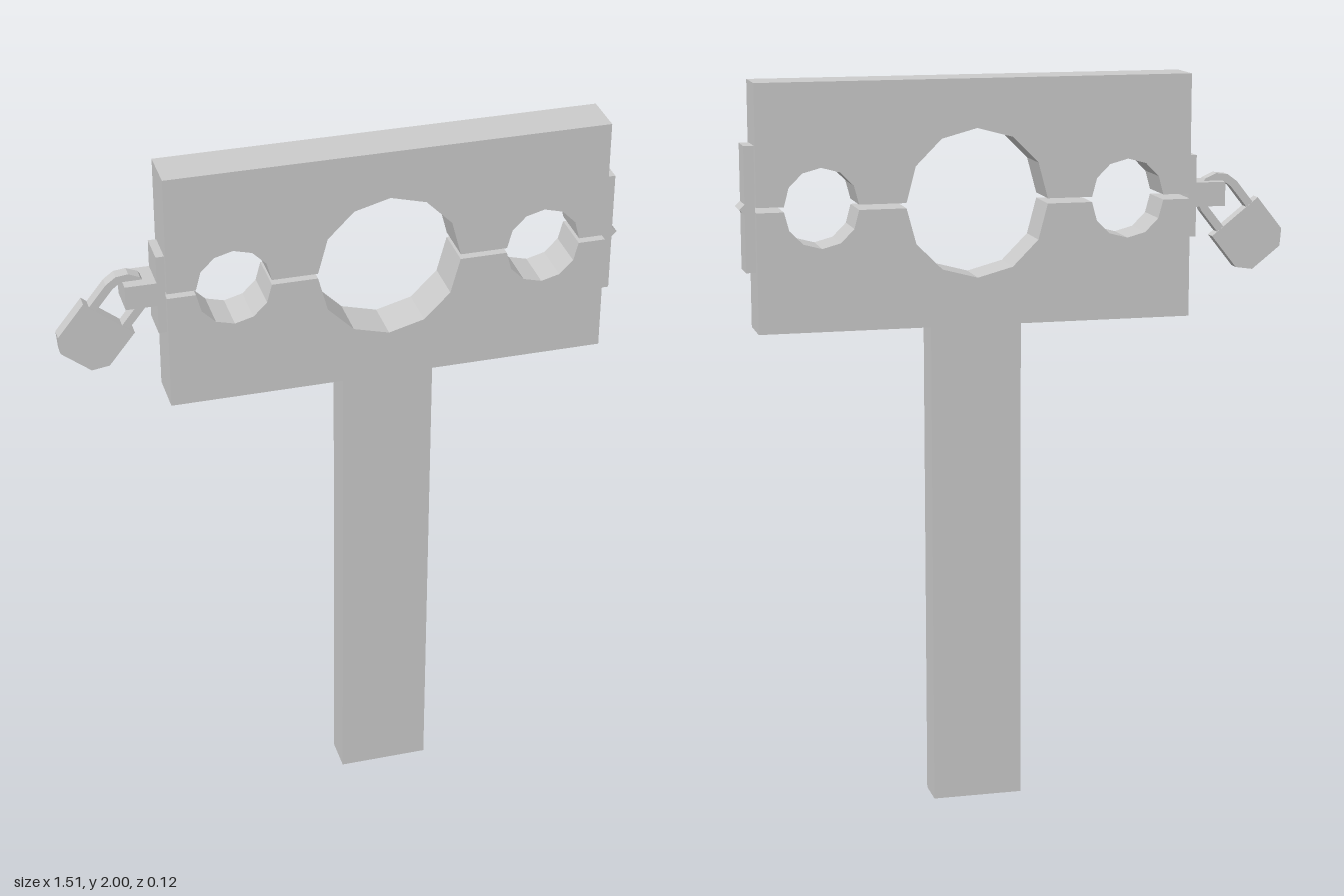
import * as THREE from 'three';

const material = new THREE.MeshStandardMaterial({ color: 0xcccccc, flatShading: true });

function mesh(name, geometry, parent) {
  const m = new THREE.Mesh(geometry, material);
  m.name = name;
  parent.add(m);
  return m;
}

// Box given by its x and y ranges, centred on z = 0
function box(name, x0, x1, y0, y1, depth, parent) {
  const m = mesh(name, new THREE.BoxGeometry(x1 - x0, y1 - y0, depth), parent);
  m.position.set((x0 + x1) / 2, (y0 + y1) / 2, 0);
  return m;
}

// Flat outline extruded evenly about z = 0
function slab(name, points, depth, parent) {
  const shape = new THREE.Shape(points.map(([x, y]) => new THREE.Vector2(x, y)));
  const geometry = new THREE.ExtrudeGeometry(shape, { depth, bevelEnabled: false });
  geometry.translate(0, 0, -depth / 2);
  return mesh(name, geometry, parent);
}

function arc(cx, cy, r, from, to, steps) {
  return Array.from({ length: steps + 1 }, (_, i) => {
    const a = from + ((to - from) * i) / steps;
    return [cx + r * Math.cos(a), cy + r * Math.sin(a)];
  });
}

export function createModel() {
  const model = new THREE.Group();
  model.name = 'pillory';

  const left = -0.475, right = 0.71;
  // Wrist, neck and wrist openings: centre x and radius
  const openings = [[-0.299, 0.1], [0.117, 0.193], [0.537, 0.1]];

  // Two boards, each with half of every opening cut from its inner edge
  function board(name, edgeY, outerY) {
    const sweep = outerY > edgeY ? 0 : 2 * Math.PI;
    const points = [[left, outerY], [left, edgeY]];
    for (const [x, r] of openings) points.push(...arc(x, edgeY, r, Math.PI, sweep, 6));
    points.push([right, edgeY], [right, outerY]);
    slab(name, points, 0.124, model);
  }
  board('upperBoard', 1.676, 2);
  board('lowerBoard', 1.662, 1.34);

  box('post', -0.005, 0.243, 0, 1.34, 0.095, model);

  // Hinge on the left end, with a four-sided pin
  const hinge = new THREE.Group();
  hinge.name = 'hinge';
  model.add(hinge);
  box('hingePlate', right, 0.737, 1.502, 1.836, 0.08, hinge);
  const pin = mesh('hingePin', new THREE.CylinderGeometry(0.019, 0.019, 0.08, 4), hinge);
  pin.rotation.x = Math.PI / 2;
  pin.position.set(0.732, 1.669, 0);

  // Hasp on the right end
  const hasp = new THREE.Group();
  hasp.name = 'hasp';
  model.add(hasp);
  box('haspPlate', -0.497, left, 1.556, 1.778, 0.094, hasp);
  box('haspTab', -0.58, -0.497, 1.637, 1.703, 0.094, hasp);

  // Padlock hanging from the hasp; its origin is the middle of the body's top edge
  const padlock = new THREE.Group();
  padlock.name = 'padlock';
  padlock.position.set(-0.619, 1.602, 0);
  padlock.rotation.z = -0.67;
  model.add(padlock);
  slab('padlockBody', [
    [-0.083, 0], [-0.083, -0.113], [-0.05, -0.148],
    [0.05, -0.148], [0.083, -0.113], [0.083, 0],
  ], 0.037, padlock);
  slab('shackle', [
    [0.064, -0.01], ...arc(0, 0.074, 0.064, 0, Math.PI, 6), [-0.064, -0.01],
    [-0.042, -0.01], ...arc(0, 0.074, 0.042, Math.PI, 0, 6), [0.042, -0.01],
  ], 0.034, padlock);

  return model;
}
